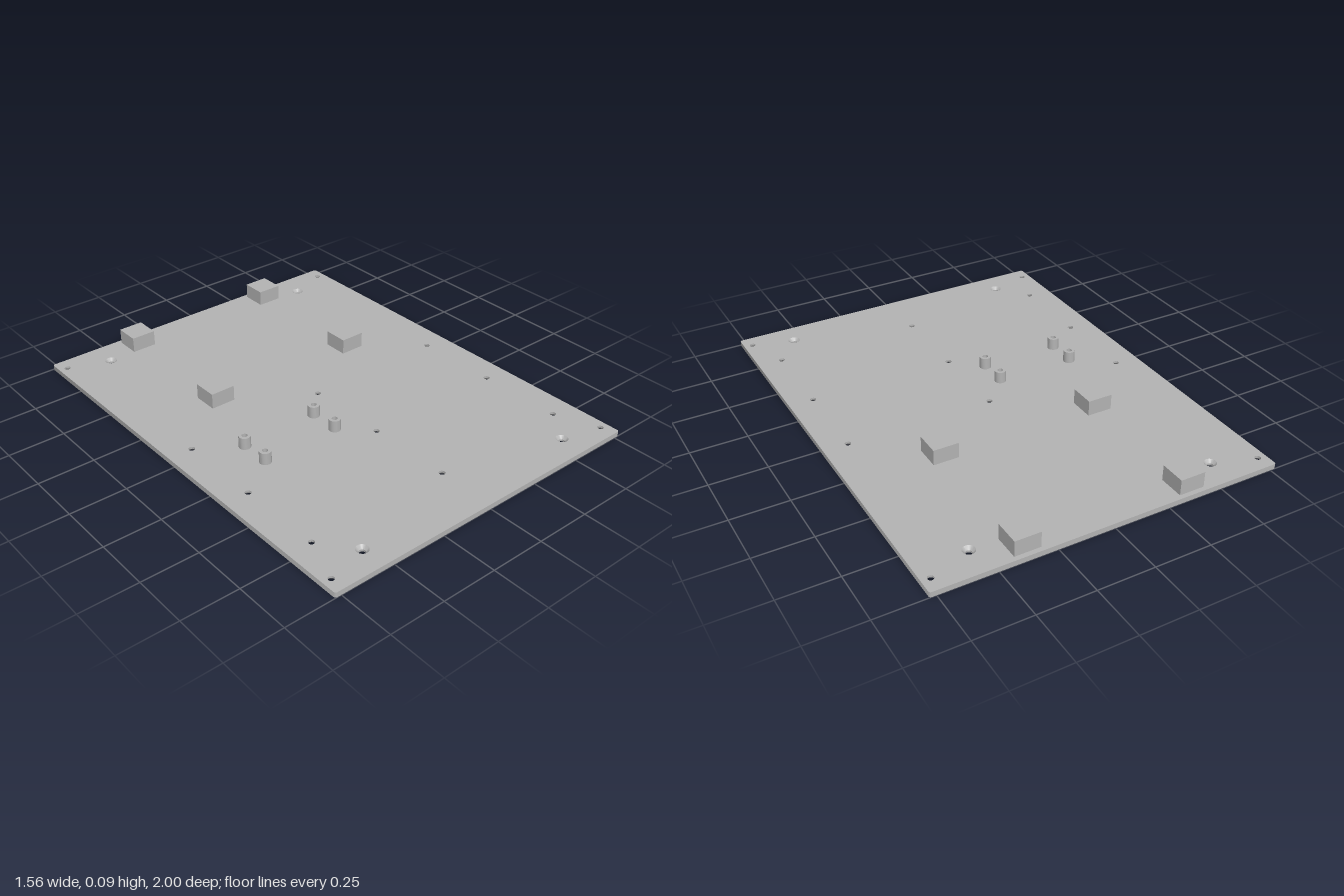
import * as THREE from 'three';
import { toCreasedNormals } from 'three/addons/utils/BufferGeometryUtils.js';

const T = 0.023, W = 0.778, D = 1.0;       // plate thickness, half width, half depth
const HOLE = 0.0135, SINK = 0.027, SINK_DEPTH = 0.0135;

export function createModel() {
  const model = new THREE.Group();
  const grey = new THREE.MeshStandardMaterial({ color: 0xb3b3b3 });
  grey.name = 'light grey';

  const add = (name, geometry, x = 0, y = 0, z = 0) => {
    const mesh = new THREE.Mesh(geometry, grey);
    mesh.name = name;
    mesh.position.set(x, y, z);
    model.add(mesh);
  };
  const lathe = (points) => toCreasedNormals(
    new THREE.LatheGeometry(points.map(([r, y]) => new THREE.Vector2(r, y)), 24), 0.5);

  // Screw positions [x, z]; one set is countersunk from above, the other from below
  const topSunk = [], bottomSunk = [];
  for (const x of [-1, 1]) {
    for (const z of [-0.866, 0.883]) topSunk.push([x * 0.551, z]);
    for (const z of [-0.933, 0.933]) bottomSunk.push([x * 0.739, z]);
  }
  for (const x of [-0.667, 0, 0.667])
    for (const z of [-0.035, 0.35, 0.736]) bottomSunk.push([x, z]);

  // Rounded plate outline, drawn anticlockwise with y = -z
  const outline = () => {
    const r = 0.01, s = new THREE.Shape();
    s.absarc(W - r, D - r, r, 0, Math.PI / 2);
    s.absarc(-W + r, D - r, r, Math.PI / 2, Math.PI);
    s.absarc(-W + r, -D + r, r, Math.PI, Math.PI * 1.5);
    s.absarc(W - r, -D + r, r, Math.PI * 1.5, Math.PI * 2);
    s.closePath();
    return s;
  };

  // Top and bottom faces
  const face = (isTop) => {
    const s = outline();
    const cut = (list, r) => list.forEach(([x, z]) => {
      const p = new THREE.Path();
      p.absarc(x, -z, r, 0, Math.PI * 2, true);
      s.holes.push(p);
    });
    cut(topSunk, isTop ? SINK : HOLE);
    cut(bottomSunk, isTop ? HOLE : SINK);
    const g = new THREE.ShapeGeometry(s, 12);
    if (!isTop) {
      const i = g.index.array;
      for (let k = 0; k < i.length; k += 3) [i[k], i[k + 1]] = [i[k + 1], i[k]];
    }
    g.rotateX(-Math.PI / 2);
    g.computeVertexNormals();
    return g;
  };
  add('plateTop', face(true), 0, T, 0);
  add('plateBottom', face(false));

  // Edge wall: a strip wrapped along the outline
  const pts = outline().getPoints(6);
  const wall = new THREE.PlaneGeometry(1, 1, pts.length - 1, 1);
  const pos = wall.attributes.position;
  for (let i = 0; i < pos.count; i++) {
    const p = pts[i % pts.length];
    pos.setXYZ(i, p.x, i < pts.length ? T : 0, -p.y);
  }
  add('plateEdge', toCreasedNormals(wall, 0.6));

  // Walls of the countersunk holes, facing inwards
  const topHole = lathe([[SINK, T], [HOLE, T - SINK_DEPTH], [HOLE, 0]]);
  const bottomHole = lathe([[HOLE, T], [HOLE, SINK_DEPTH], [SINK, 0]]);
  topSunk.forEach(([x, z]) => add('topScrewHole', topHole, x, 0, z));
  bottomSunk.forEach(([x, z]) => add('bottomScrewHole', bottomHole, x, 0, z));

  // Mounting blocks
  const block = new THREE.BoxGeometry(0.114, 0.07, 0.114);
  for (const x of [-0.37, 0.37])
    for (const z of [-0.922, -0.285]) add('mountingBlock', block, x, T + 0.035, z);

  // Standoffs with blind bores
  const standoff = lathe([[0.026, 0], [0.026, 0.054], [0.0125, 0.054], [0.0125, 0.001], [0, 0.001]]);
  for (const x of [-0.49, -0.126])
    for (const z of [0.09, 0.228]) add('standoff', standoff, x, T, z);

  return model;
}
